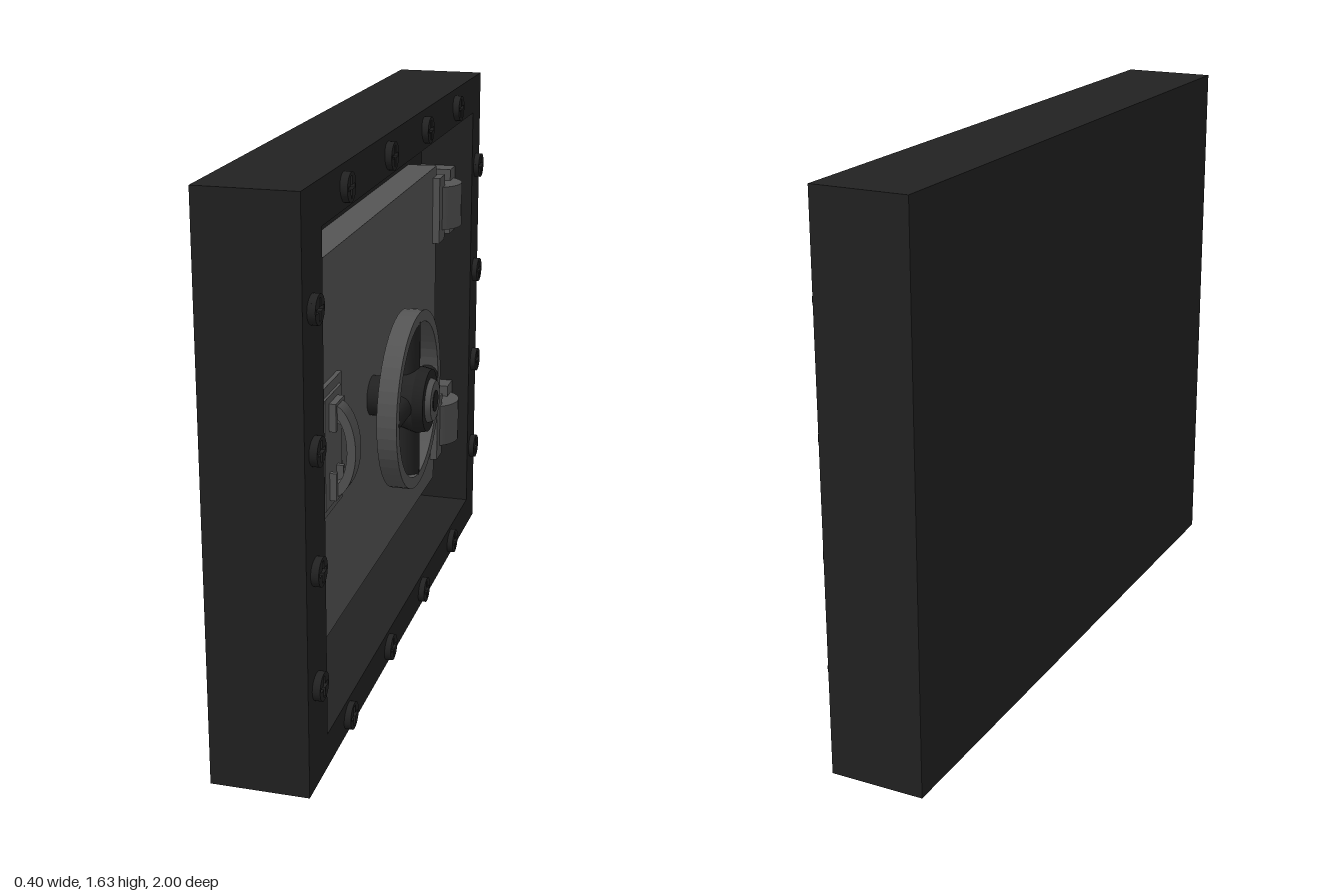
import * as THREE from 'three';

// Built facing local +z, then turned so that the door faces +x.
const MID = 0.8175;
const FLOOR = -0.09;
const DOOR = 0.005;

function material(name, color) {
  const m = new THREE.MeshStandardMaterial({ color });
  m.name = name;
  return m;
}

// Hollow box skinned through rectangular rings [halfWidth, halfHeight, depth]
function ringBox(rings) {
  const pts = rings.map(([w, h, d]) =>
    [[-w, -h], [w, -h], [w, h], [-w, h]].map(([x, y]) => [x, y, d]));
  const out = [];
  const quad = (a, b, c, d) => out.push(...a, ...b, ...c, ...a, ...c, ...d);
  for (let i = 0; i < pts.length - 1; i++) {
    for (let k = 0; k < 4; k++) {
      const n = (k + 1) % 4;
      quad(pts[i][k], pts[i][n], pts[i + 1][n], pts[i + 1][k]);
    }
  }
  const first = pts[0], last = pts[pts.length - 1];
  quad(first[3], first[2], first[1], first[0]);
  quad(...last);
  const g = new THREE.BufferGeometry();
  g.setAttribute('position', new THREE.Float32BufferAttribute(out, 3));
  g.computeVertexNormals();
  return g;
}

export function createModel() {
  const model = new THREE.Group();
  const safe = new THREE.Group();
  safe.name = 'wallSafe';
  safe.rotation.y = Math.PI / 2;
  model.add(safe);

  const dark = material('dark iron', 0x222222);
  const steel = material('grey steel', 0x555555);

  function add(parent, name, geo, mat, x = 0, y = 0, z = 0) {
    const mesh = new THREE.Mesh(geo, mat);
    mesh.name = name;
    mesh.position.set(x, y, z);
    parent.add(mesh);
    return mesh;
  }
  function group(name, x, y, z = 0) {
    const g = new THREE.Group();
    g.name = name;
    g.position.set(x, y, z);
    safe.add(g);
    return g;
  }
  // Box between two corners
  function box(parent, name, mat, x0, x1, y0, y1, z0, z1) {
    return add(parent, name, new THREE.BoxGeometry(x1 - x0, y1 - y0, z1 - z0), mat,
      (x0 + x1) / 2, (y0 + y1) / 2, (z0 + z1) / 2);
  }
  // Cylinder along z from z0 to z1
  function disc(parent, name, mat, rBack, rFront, z0, z1) {
    const geo = new THREE.CylinderGeometry(rFront, rBack, z1 - z0, 32).rotateX(Math.PI / 2);
    return add(parent, name, geo, mat, 0, 0, (z0 + z1) / 2);
  }
  const extrude = (shape, depth) =>
    new THREE.ExtrudeGeometry(shape, { depth, bevelEnabled: false, curveSegments: 24 });

  // Body with a recessed front
  add(safe, 'body', ringBox([
    [1, MID, -0.2], [1, MID, 0.08], [0.857, 0.7025, 0.087], [0.857, 0.7025, FLOOR],
  ]), dark, 0, MID, 0);

  // Door slab
  box(safe, 'door', steel, -0.685, 0.68, 0.265, 1.37, FLOOR, DOOR);

  // Bolts with cross slots
  const head = new THREE.Shape().absarc(0, 0, 0.04, 0, Math.PI * 2);
  const a = 0.006, b = 0.03;
  head.holes.push(new THREE.Path([
    [a, a], [a, b], [-a, b], [-a, a], [-b, a], [-b, -a],
    [-a, -a], [-a, -b], [a, -b], [a, -a], [b, -a], [b, a],
  ].map(([x, y]) => new THREE.Vector2(x, y))));
  const headGeo = extrude(head, 0.012);
  const bolt = (x, y) => {
    const g = group('bolt', x, y);
    disc(g, 'boltBase', dark, 0.04, 0.04, 0.07, 0.091);
    add(g, 'boltHead', headGeo, dark, 0, 0, 0.091);
  };
  for (const x of [-0.65, -0.22, 0.2, 0.61]) [0.06, 1.575].forEach((y) => bolt(x, y));
  for (const y of [0.3, 0.63, 0.96, 1.33]) [-0.93, 0.928].forEach((x) => bolt(x, y));

  // Hand wheel
  const wheel = group('wheel', -0.112, 0.83);
  const rim = new THREE.Shape().absarc(0, 0, 0.267, 0, Math.PI * 2);
  rim.holes.push(new THREE.Path().absarc(0, 0, 0.233, 0, Math.PI * 2));
  add(wheel, 'wheelRim', extrude(rim, 0.058), steel, 0, 0, 0.092);
  for (let i = 0; i < 4; i++) {
    const spoke = new THREE.CylinderGeometry(0.033, 0.033, 0.18, 16).translate(0, 0.15, 0);
    add(wheel, 'spoke', spoke, dark, 0, 0, 0.118).rotation.z = i * Math.PI / 2;
  }
  disc(wheel, 'shaft', dark, 0.06, 0.06, DOOR, 0.09);
  disc(wheel, 'hub', dark, 0.08, 0.1, 0.085, 0.15);
  disc(wheel, 'hubFront', dark, 0.1, 0.093, 0.15, 0.182);
  disc(wheel, 'hubCap', steel, 0.067, 0.06, 0.182, 0.198);
  disc(wheel, 'hubCentre', dark, 0.032, 0.032, 0.196, 0.2);

  // Pull handle on its plate
  const handle = group('handle', -0.577, 0.834);
  box(handle, 'handlePlate', steel, -0.108, 0.106, -0.187, 0.187, FLOOR, 0.018);
  box(handle, 'raisedPanel', steel, -0.077, 0.079, -0.16, 0.16, 0.018, 0.026);
  for (const s of [-1, 1]) {
    add(handle, 'foot', new THREE.BoxGeometry(0.08, 0.03, 0.02), steel, 0, s * 0.125, 0.035);
    for (const t of [-1, 1]) {
      add(handle, 'footLug', new THREE.BoxGeometry(0.014, 0.08, 0.02), steel, t * 0.033, s * 0.1, 0.035);
    }
  }
  // Grip: half ring, its plane turned upright
  const grip = new THREE.Shape();
  grip.absellipse(0, 0, 0.072, 0.137, -Math.PI / 2, Math.PI / 2);
  grip.absellipse(0, 0, 0.047, 0.105, Math.PI / 2, -Math.PI / 2, true);
  grip.closePath();
  add(handle, 'grip', extrude(grip, 0.054).translate(0, 0, -0.027).rotateY(-Math.PI / 2),
    steel, 0, 0, 0.024);

  // Hinges: two leaves and a rounded knuckle
  for (const y of [0.4575, 1.2275]) {
    const hinge = group('hinge', 0.755, y);
    box(hinge, 'doorLeaf', steel, -0.122, -0.048, -0.11, 0.11, FLOOR, 0.028);
    box(hinge, 'frameLeaf', steel, 0.03, 0.1, -0.11, 0.11, FLOOR, 0.028);
    const knuckle = new THREE.CylinderGeometry(0.095, 0.095, 0.145, 32);
    add(hinge, 'knuckle', knuckle, steel, 0, 0, -0.022);
  }
  return model;
}
